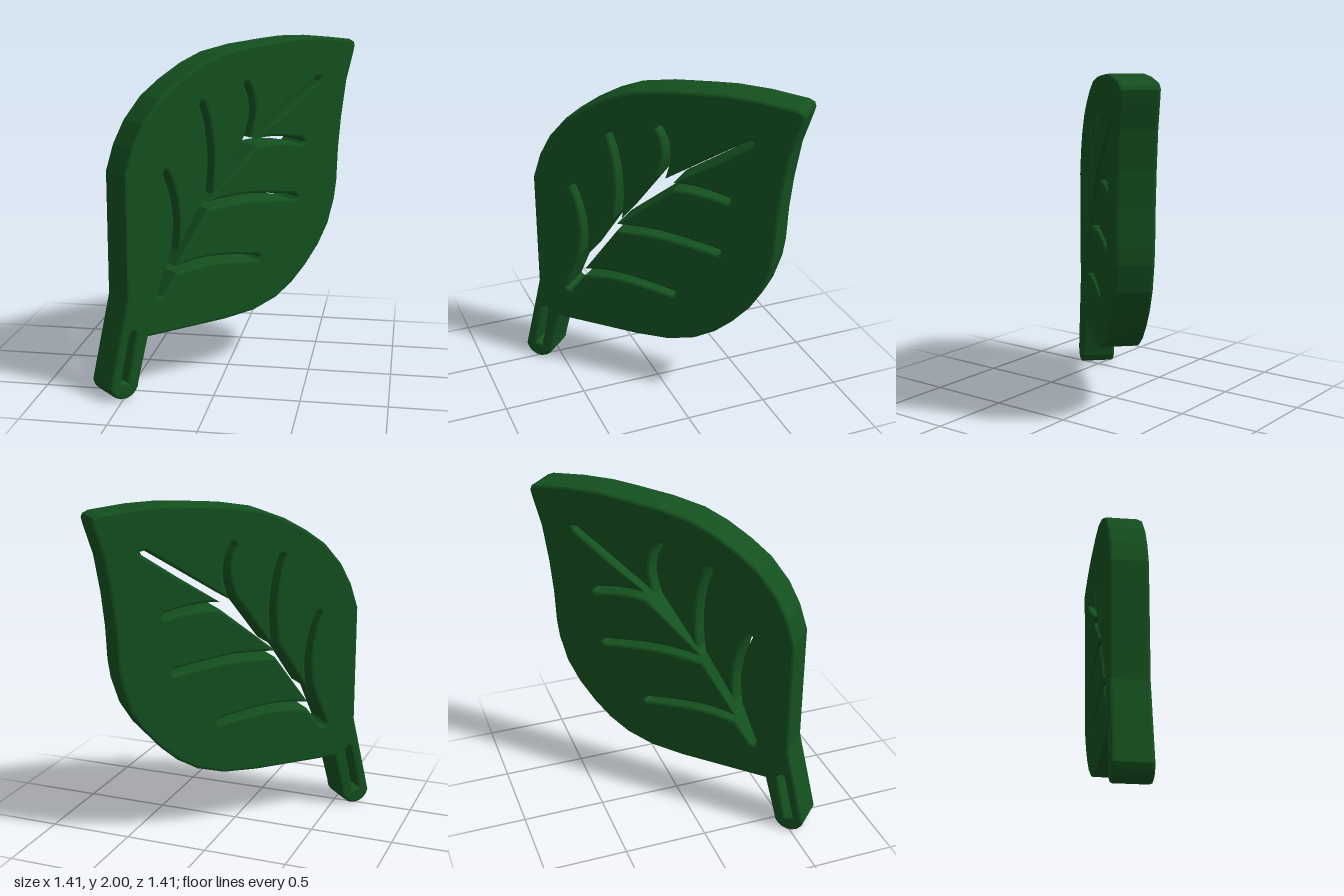
import * as THREE from 'three';

const THICK = 0.22, BEVEL = 0.016;
const v = ([x, y]) => new THREE.Vector2(x, y);

// Outline of a tapering finger that runs along pts: out on its right, round the tip, back on its left
function finger(pts, w0, w1, n = 8) {
  const curve = new THREE.SplineCurve(pts.map(v));
  const right = [], left = [];
  for (let i = 0; i <= n; i++) {
    const p = curve.getPoint(i / n), t = curve.getTangent(i / n);
    const w = w0 + (w1 - w0) * i / n;
    right.push(new THREE.Vector2(p.x + t.y * w, p.y - t.x * w));
    left.unshift(new THREE.Vector2(p.x - t.y * w, p.y + t.x * w));
  }
  const end = curve.getPoint(1).addScaledVector(curve.getTangent(1), w1 * 0.8);
  return [...right, end, ...left];
}

export function createModel() {
  const group = new THREE.Group();
  group.name = 'leaf';

  // Blade and stem outline, counter-clockwise from the stem foot
  const outline = [];
  for (let i = 0; i <= 8; i++) {
    const a = Math.PI * (1.06 + 0.94 * i / 8);
    outline.push(new THREE.Vector2(-0.799 + 0.096 * Math.cos(a), 0.096 + 0.096 * Math.sin(a)));
  }
  outline.push(...[
    [-0.638, 0.345], [-0.096, 0.345], [0.116, 0.36], [0.286, 0.41], [0.413, 0.485],
    [0.52, 0.58], [0.625, 0.7], [0.703, 0.83], [0.752, 0.99], [0.767, 1.1],
    [0.775, 1.3], [0.795, 1.5], [0.83, 1.72], [0.885, 1.9], [0.893, 1.935],
    [0.885, 1.957], [0.85, 1.973], [0.64, 1.995], [0.45, 2.0], [0.3, 1.99],
    [0.068, 1.97], [-0.13, 1.935], [-0.27, 1.88], [-0.413, 1.8], [-0.54, 1.71],
    [-0.653, 1.58], [-0.724, 1.45], [-0.774, 1.3], [-0.774, 0.58],
  ].map(v));
  const shape = new THREE.Shape(outline);

  // Midrib with three side veins on each side, cut right through as one opening
  const rightVeins = [
    [[-0.44, 0.712], [-0.25, 0.735], [-0.04, 0.72], [0.15, 0.692]],
    [[-0.22, 1.065], [0.03, 1.078], [0.24, 1.06], [0.43, 1.033]],
    [[0.14, 1.398], [0.24, 1.405], [0.38, 1.392], [0.48, 1.372]],
  ];
  const leftVeins = [
    [[0.066, 1.44], [0.1, 1.57], [0.09, 1.68], [0.055, 1.75]],
    [[-0.21, 1.13], [-0.195, 1.35], [-0.22, 1.55], [-0.255, 1.66]],
    [[-0.45, 0.83], [-0.435, 1.0], [-0.46, 1.17], [-0.505, 1.29]],
  ];
  const cut = pts => finger(pts, 0.021, 0.017);
  const veins = [
    ...[[-0.575, 0.575], [-0.56, 0.56], [-0.535, 0.565]].map(v),
    ...rightVeins.flatMap(cut),
    ...[[0.4, 1.59], [0.61, 1.733], [0.618, 1.752], [0.59, 1.757], [0.37, 1.617]].map(v),
    ...leftVeins.flatMap(cut),
    v([-0.515, 0.72]),
  ];
  shape.holes.push(new THREE.Path(veins));

  // Slot along the stem
  const slot = finger([[-0.8, 0.1], [-0.77, 0.235], [-0.738, 0.38]], 0.022, 0.02, 3);
  shape.holes.push(new THREE.Path(slot));

  const geo = new THREE.ExtrudeGeometry(shape, {
    depth: THICK - 2 * BEVEL, bevelEnabled: true, bevelThickness: BEVEL,
    bevelSize: BEVEL, bevelOffset: -BEVEL, bevelSegments: 2, curveSegments: 8,
  });
  geo.translate(0, 0, -THICK / 2 + BEVEL);

  const leaf = new THREE.Mesh(geo, new THREE.MeshStandardMaterial({ color: 0x14501f }));
  leaf.name = 'leafBladeAndStem';
  leaf.rotation.y = Math.PI / 4;
  group.add(leaf);
  return group;
}
